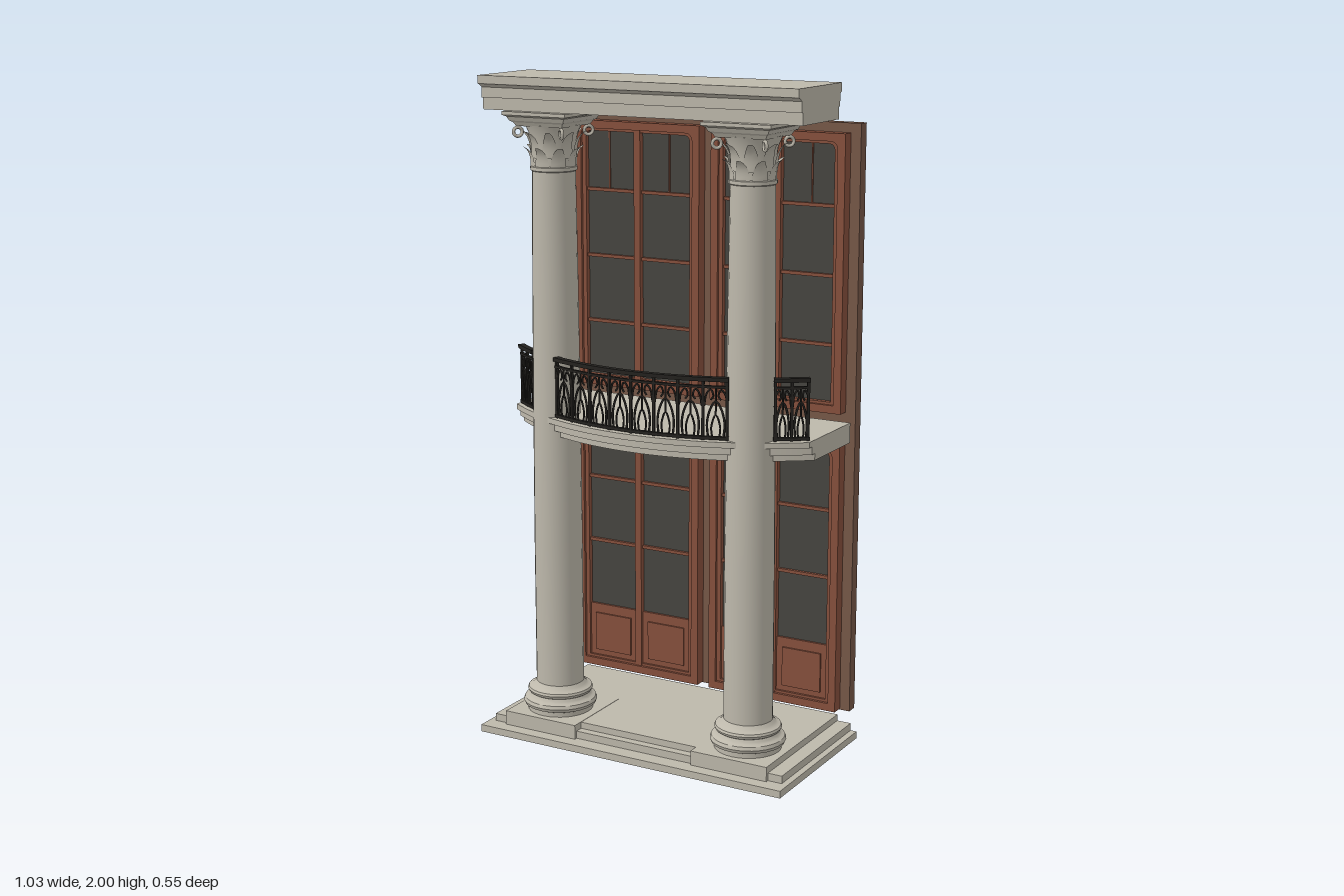
import * as THREE from 'three';
import { toCreasedNormals } from 'three/addons/utils/BufferGeometryUtils.js';

const mat = (name, color, side = THREE.FrontSide) => {
  const m = new THREE.MeshStandardMaterial({ color, side });
  m.name = name;
  return m;
};
const stone = mat('stone', 0xbdb8ab, THREE.DoubleSide);
const wood = mat('doorWood', 0x87503d);
const backing = mat('backingWood', 0x775848);
const glass = mat('darkGlass', 0x474540);
const iron = mat('blackIron', 0x24221f);

function add(parent, name, geo, material) {
  const m = new THREE.Mesh(geo, material);
  m.name = name;
  parent.add(m);
  return m;
}

// Box given by its limits on each axis
function box(parent, name, material, x0, x1, y0, y1, z0, z1) {
  const g = new THREE.BoxGeometry(x1 - x0, y1 - y0, z1 - z0);
  g.translate((x0 + x1) / 2, (y0 + y1) / 2, (z0 + z1) / 2);
  return add(parent, name, g, material);
}

function lathe(points, segments, crease = 0.5) {
  const g = new THREE.LatheGeometry(points.map(([r, y]) => new THREE.Vector2(r, y)), segments);
  return toCreasedNormals(g, crease);
}

function group(parent, name) {
  const g = new THREE.Group();
  g.name = name;
  parent.add(g);
  return g;
}

// Stepped floor with a raised plinth under each column
function buildFloor(root) {
  const g = group(root, 'floor');
  box(g, 'lowerStep', stone, -0.515, 0.515, 0, 0.022, -0.243, 0.277);
  box(g, 'middleStep', stone, -0.495, 0.495, 0.022, 0.045, -0.243, 0.226);
  box(g, 'upperStep', stone, -0.45, 0.45, 0.045, 0.065, -0.243, 0.2);
  for (const s of [-1, 1]) box(g, 'columnPlinth', stone, s * 0.325 - 0.125, s * 0.325 + 0.125, 0.022, 0.066, -0.02, 0.236);
}

// Acanthus leaf: a plane narrowed to its tip and curled outwards
function leafGeometry(w, h, curl) {
  const g = new THREE.PlaneGeometry(w, h, 2, 6);
  const p = g.attributes.position;
  for (let i = 0; i < p.count; i++) {
    const t = p.getY(i) / h + 0.5;
    const x = p.getX(i) * (1 - 0.75 * t * t);
    const y = h * (t - 0.35 * Math.max(0, t - 0.75));
    p.setXYZ(i, x, y, curl * t ** 3 - Math.abs(x) * 0.3);
  }
  g.computeVertexNormals();
  return g;
}

function buildColumn(root, x) {
  const g = group(root, 'column');
  g.position.set(x, 0, 0.115);
  add(g, 'columnBase', lathe([
    [0, 0.065], [0.1, 0.065], [0.1, 0.08], [0.109, 0.084], [0.113, 0.094], [0.109, 0.104], [0.1, 0.108],
    [0.094, 0.113], [0.091, 0.12], [0.097, 0.124], [0.1, 0.131], [0.097, 0.138], [0.087, 0.141], [0.08, 0.147], [0.073, 0.156],
  ], 32), stone);
  add(g, 'columnShaft', lathe([[0.073, 0.15], [0.073, 0.6], [0.071, 1.0], [0.068, 1.4], [0.064, 1.73]], 24), stone);
  const cap = group(g, 'capital');
  add(cap, 'bell', lathe([
    [0.064, 1.725], [0.069, 1.728], [0.069, 1.738], [0.063, 1.742], [0.064, 1.79], [0.07, 1.83], [0.083, 1.86], [0, 1.86],
  ], 24), stone);
  // Square abacus flaring upwards
  const r = Math.SQRT2;
  const abacus = lathe([[0, 1.857], [0.078 * r, 1.857], [0.084 * r, 1.868], [0.092 * r, 1.873],
    [0.098 * r, 1.885], [0.108 * r, 1.89], [0.108 * r, 1.9], [0, 1.9]], 4, 0.2);
  abacus.rotateY(Math.PI / 4);
  add(cap, 'abacus', abacus, stone);
  // Two staggered rows of leaves
  for (const [y, h, curl, off] of [[1.74, 0.062, 0.022, 0], [1.765, 0.085, 0.03, 0.5]]) {
    const leaf = leafGeometry(0.046, h, curl);
    for (let i = 0; i < 8; i++) {
      const a = (i + off) * Math.PI / 4;
      const m = add(cap, 'leaf', leaf, stone);
      m.position.set(Math.sin(a) * 0.069, y, Math.cos(a) * 0.069);
      m.rotation.y = a;
    }
  }
  // Corner scrolls below the abacus
  for (let i = 0; i < 4; i++) {
    const a = Math.PI / 4 + i * Math.PI / 2;
    const m = add(cap, 'scroll', new THREE.TorusGeometry(0.013, 0.005, 6, 14), stone);
    m.position.set(Math.sin(a) * 0.105, 1.84, Math.cos(a) * 0.105);
    m.rotation.y = a + Math.PI / 2;
  }
}

// Moulded beam: a stepped side profile drawn along x
function buildBeam(root) {
  const s = new THREE.Shape([
    [-0.03, 1.9], [0.195, 1.9], [0.195, 1.935], [0.202, 1.935], [0.202, 1.965], [0.212, 1.972], [0.222, 1.976], [0.222, 2],
    [-0.047, 2], [-0.047, 1.976], [-0.037, 1.97], [-0.037, 1.935], [-0.03, 1.935],
  ].map(([z, y]) => new THREE.Vector2(-z, y)));
  const g = new THREE.ExtrudeGeometry(s, { depth: 1.034, bevelEnabled: false });
  g.translate(0, 0, -0.517);
  g.rotateY(Math.PI / 2);
  add(root, 'topBeam', g, stone);
}

// Bowed balcony slab and railing share one arc centre
const ARC_Z = -0.55;
const onArc = (r, a, y) => new THREE.Vector3(r * Math.sin(a), y, ARC_Z + r * Math.cos(a));

function arcBand(r0, r1, a0, a1, y, h) {
  const s = new THREE.Shape();
  s.absarc(0, ARC_Z, r1, Math.PI / 2 - a1, Math.PI / 2 - a0, false);
  s.absarc(0, ARC_Z, r0, Math.PI / 2 - a0, Math.PI / 2 - a1, true);
  const g = new THREE.ExtrudeGeometry(s, { depth: h, bevelEnabled: false, curveSegments: 24 });
  g.rotateX(Math.PI / 2);
  g.translate(0, y + h, 0);
  return g;
}

function buildBalcony(root) {
  const g = group(root, 'balcony');
  for (const [r, y, h] of [[0.8, 0.983, 0.017], [0.786, 0.96, 0.023], [0.772, 0.94, 0.02]]) {
    const a = Math.asin(0.495 / r);
    const s = new THREE.Shape();
    s.moveTo(-0.495, -0.195);
    s.lineTo(0.495, -0.195);
    s.absarc(0, ARC_Z, r, Math.PI / 2 - a, Math.PI / 2 + a, false);
    const geo = new THREE.ExtrudeGeometry(s, { depth: h, bevelEnabled: false, curveSegments: 36 });
    geo.rotateX(Math.PI / 2);
    geo.translate(0, y + h, 0);
    add(g, 'balconySlab', geo, stone);
  }
  const R = 0.782;
  const tube = (parent, name, pts, rad) =>
    add(parent, name, new THREE.TubeGeometry(new THREE.CatmullRomCurve3(pts), 20, rad, 5), iron);
  for (const [a0, a1, n] of [[-0.378, 0.378, 8], [0.54, 0.672, 2], [-0.672, -0.54, 2]]) {
    const rail = group(g, 'railing');
    add(rail, 'topRail', arcBand(R - 0.01, R + 0.01, a0, a1, 1.172, 0.012), iron);
    add(rail, 'upperRail', arcBand(R - 0.005, R + 0.005, a0, a1, 1.152, 0.007), iron);
    add(rail, 'lowerRail', arcBand(R - 0.006, R + 0.006, a0, a1, 1.003, 0.009), iron);
    const step = (a1 - a0) / n;
    for (let i = 0; i <= n; i++) {
      const a = a0 + Math.min(Math.max(i * step, 0.006), a1 - a0 - 0.006);
      const post = add(rail, 'post', new THREE.BoxGeometry(0.008, 0.175, 0.008), iron);
      post.position.copy(onArc(R, a, 1.088));
      post.rotation.y = a;
      if (i === n) break;
      // Arch, hanging scrolls and finial in each panel
      const c = a0 + (i + 0.5) * step;
      const at = (u, y) => onArc(R, c + u * step, y);
      tube(rail, 'arch', [at(-0.3, 1.01), at(-0.34, 1.05), at(-0.22, 1.09), at(0, 1.115), at(0.22, 1.09), at(0.34, 1.05), at(0.3, 1.01)], 0.0035);
      tube(rail, 'innerArch', [at(-0.14, 1.01), at(-0.17, 1.04), at(0, 1.075), at(0.17, 1.04), at(0.14, 1.01)], 0.003);
      for (const s of [-1, 1]) tube(rail, 'scroll', [at(s * 0.45, 1.1), at(s * 0.36, 1.135), at(s * 0.2, 1.148), at(s * 0.1, 1.13), at(s * 0.2, 1.118)], 0.003);
      tube(rail, 'finial', [at(0, 1.075), at(0, 1.1), at(0, 1.152)], 0.003);
    }
  }
}

// Upright frame with an opening whose upper corners are rounded
function frameGeometry(x0, x1, y0, y1, t, r, depth) {
  const s = new THREE.Shape([[x0, y0], [x1, y0], [x1, y1], [x0, y1]].map((p) => new THREE.Vector2(...p)));
  const [a, b, c, d] = [x0 + t, x1 - t, y0 + t, y1 - t];
  const h = new THREE.Path();
  h.moveTo(a, c);
  h.lineTo(a, d - r);
  h.quadraticCurveTo(a, d, a + r, d);
  h.lineTo(b - r, d);
  h.quadraticCurveTo(b, d, b, d - r);
  h.lineTo(b, c);
  h.closePath();
  s.holes.push(h);
  return new THREE.ExtrudeGeometry(s, { depth, bevelEnabled: false, curveSegments: 6 });
}

function buildDoor(root, cx, y0, y1, bars, panelTop) {
  const g = group(root, panelTop ? 'lowerDoor' : 'upperDoor');
  g.position.set(cx, 0, -0.241);
  const w = 0.219;
  add(g, 'outerFrame', frameGeometry(-w, w, y0, y1, 0.024, 0.025, 0.037), wood);
  add(g, 'innerFrame', frameGeometry(-w + 0.015, w - 0.015, y0 + 0.01, y1 - 0.01, 0.022, 0.02, 0.028), wood);
  const base = panelTop || y0 + 0.02;
  box(g, 'glass', glass, -w + 0.02, w - 0.02, base, y1 - 0.015, 0.004, 0.012);
  box(g, 'centreStile', wood, -0.011, 0.011, y0 + 0.02, y1 - 0.02, 0, 0.03);
  for (const y of bars) box(g, 'glazingBar', wood, -w + 0.03, w - 0.03, y - 0.005, y + 0.005, 0, 0.022);
  if (panelTop) {
    box(g, 'kickBoard', wood, -w + 0.02, w - 0.02, y0 + 0.015, panelTop, 0, 0.02);
    for (const s of [-1, 1]) box(g, 'raisedPanel', wood, s * 0.097 - 0.065, s * 0.097 + 0.065, y0 + 0.05, panelTop - 0.03, 0.018, 0.026);
  } else {
    for (const s of [-1, 1]) box(g, 'thinBar', wood, s * 0.105 - 0.002, s * 0.105 + 0.002, bars[bars.length - 1], y1 - 0.02, 0, 0.016);
  }
}

export function createModel() {
  const root = new THREE.Group();
  root.name = 'balconyPortico';
  buildFloor(root);
  for (const x of [-0.327, 0.327]) buildColumn(root, x);
  buildBeam(root);
  buildBalcony(root);
  box(root, 'backPanel', backing, -0.49, 0.49, 0.083, 1.87, -0.277, -0.241);
  for (const cx of [-0.239, 0.239]) {
    buildDoor(root, cx, 0.086, 0.928, [0.505, 0.715], 0.29);
    buildDoor(root, cx, 1.018, 1.842, [1.22, 1.425, 1.63], 0);
  }
  return root;
}
